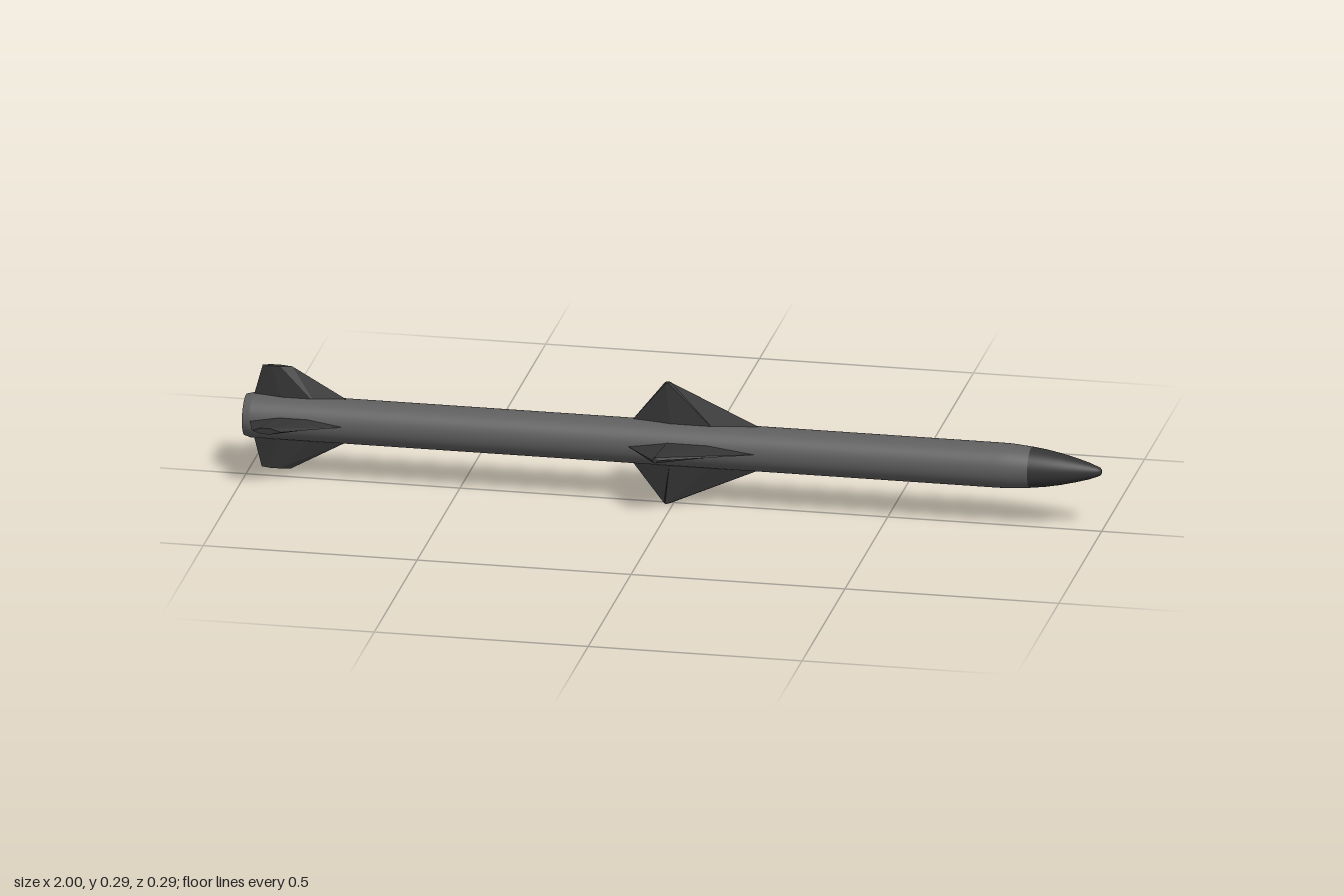
import * as THREE from 'three';

const AXIS_Y = 0.146;
const R = 0.052;

// Solid of revolution about the x axis; points are [x, radius] from tail to nose
function lathe(name, points, material) {
  const profile = points.map(([x, r]) => new THREE.Vector2(r, x));
  const geometry = new THREE.LatheGeometry(profile, 48);
  geometry.rotateZ(-Math.PI / 2);
  const mesh = new THREE.Mesh(geometry, material);
  mesh.name = name;
  return mesh;
}

// Tapered fin with a hexagonal section: sharp leading and trailing edges, flat middle.
// Each section is { r, back, front, half } = radius, chord ends, half thickness.
function finGeometry(root, tip) {
  const ring = ({ r, back, front, half }) => {
    const c = front - back;
    return [
      [back, 0], [back + 0.3 * c, half], [back + 0.62 * c, half],
      [front, 0], [back + 0.62 * c, -half], [back + 0.3 * c, -half],
    ].map(([x, z]) => [x, r, z]);
  };
  const a = ring(root), b = ring(tip), out = [];
  const tri = (...corners) => corners.forEach((p) => out.push(...p));
  for (let i = 0; i < 6; i++) {
    const j = (i + 1) % 6;
    tri(a[i], a[j], b[j]);
    tri(a[i], b[j], b[i]);
  }
  for (let i = 1; i < 5; i++) {
    tri(b[0], b[i], b[i + 1]);
    tri(a[0], a[i + 1], a[i]);
  }
  const geometry = new THREE.BufferGeometry();
  geometry.setAttribute('position', new THREE.Float32BufferAttribute(out, 3));
  geometry.computeVertexNormals();
  return geometry;
}

// Four equal fins around the body, turned slightly off the vertical
function finSet(name, geometry, material) {
  const set = new THREE.Group();
  set.name = name + 's';
  for (let i = 0; i < 4; i++) {
    const fin = new THREE.Mesh(geometry, material);
    fin.name = name;
    fin.rotation.x = -0.05 + (i * Math.PI) / 2;
    set.add(fin);
  }
  return set;
}

export function createModel() {
  const grey = new THREE.MeshStandardMaterial({ color: 0x5e5e5e });
  grey.name = 'bodyGrey';
  const dark = new THREE.MeshStandardMaterial({ color: 0x343434 });
  dark.name = 'darkGrey';
  const black = new THREE.MeshStandardMaterial({ color: 0x161616, side: THREE.DoubleSide });
  black.name = 'nozzleBlack';

  const model = new THREE.Group();
  model.name = 'missile';
  const assembly = new THREE.Group();
  assembly.name = 'airframe';
  assembly.position.y = AXIS_Y;
  model.add(assembly);

  // Body tube with a gentle shoulder towards the nose
  assembly.add(lathe('bodyTube', [
    [-1, 0.048], [-0.985, R], [-0.98, R], [0.76, R], [0.79, 0.0515], [0.835, 0.0475],
  ], grey));

  // Rounded nose with a small blunt tip
  assembly.add(lathe('noseCone', [
    [0.835, 0.0475], [0.87, 0.043], [0.905, 0.0365], [0.94, 0.028], [0.97, 0.0195], [0.99, 0.012],
  ], dark));
  assembly.add(lathe('noseTip', [[0.99, 0.012], [0.997, 0.009], [1, 0.005], [1, 0]], dark));

  // Tail ring, hollow nozzle and inner plug
  assembly.add(lathe('tailRing', [[-1, 0.036], [-1, 0.048]], dark));
  assembly.add(lathe('nozzleWall', [[-0.95, 0.03], [-1, 0.036]], black));
  assembly.add(lathe('nozzlePlug', [[-0.95, 0], [-0.95, 0.03]], grey));

  // Middle wings and tail fins
  assembly.add(finSet('middleWing', finGeometry(
    { r: 0.04, back: -0.105, front: 0.225, half: 0.015 },
    { r: 0.1445, back: -0.022, front: -0.008, half: 0.0068 },
  ), dark));
  assembly.add(finSet('tailFin', finGeometry(
    { r: 0.04, back: -0.984, front: -0.745, half: 0.013 },
    { r: 0.122, back: -0.962, front: -0.893, half: 0.007 },
  ), dark));

  return model;
}
